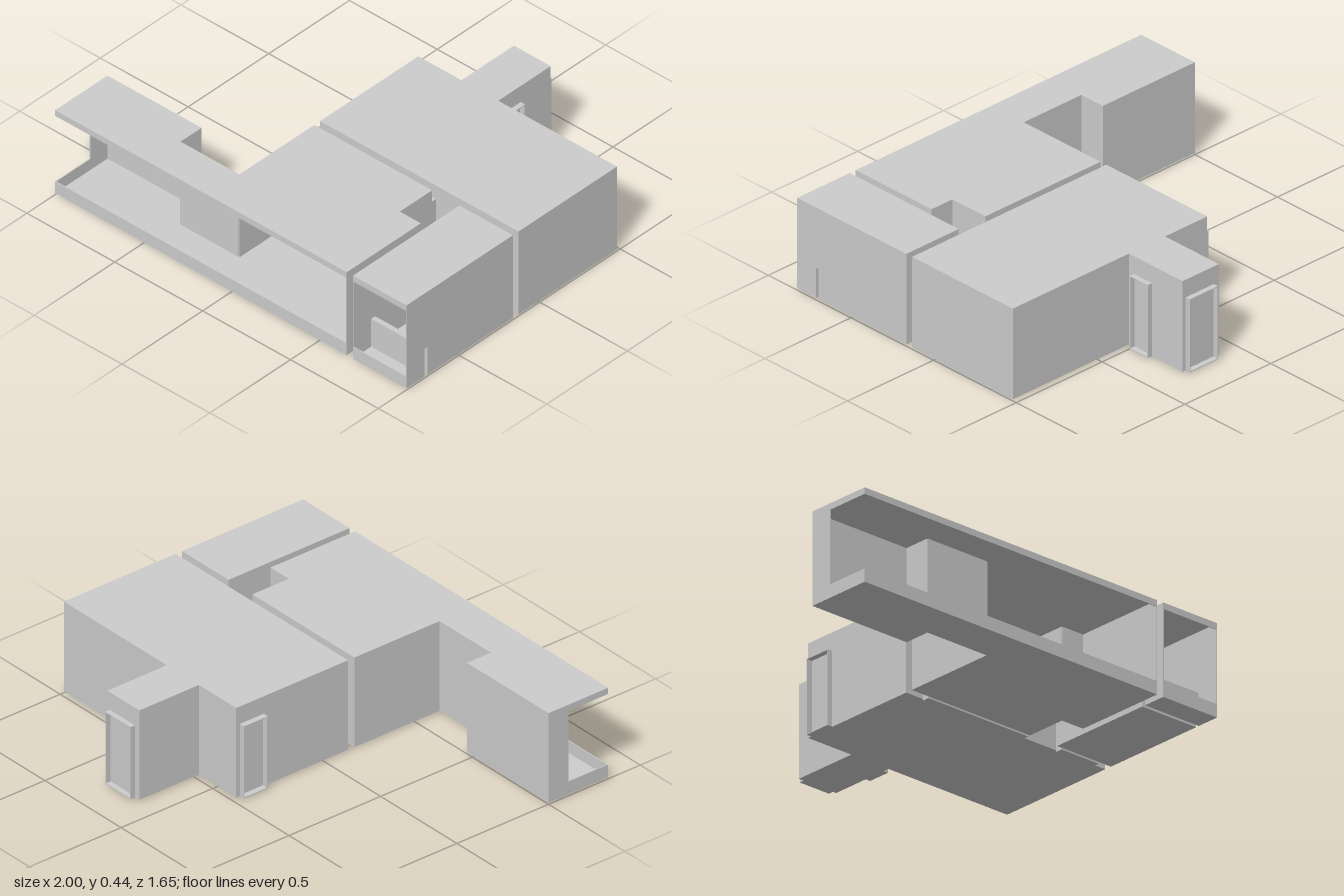
import * as THREE from 'three';

const material = new THREE.MeshStandardMaterial({ color: 0xcccccc, flatShading: true });
const T = 0.004;          // shell thickness
const BASE = 0.008, TOP = 0.445;
const SILL = 0.07, LINTEL = 0.415; // open front between these heights

function add(parent, name, geometry) {
  const mesh = new THREE.Mesh(geometry, material);
  mesh.name = name;
  parent.add(mesh);
  return mesh;
}

// Box given by its limits on each axis
function box(parent, name, x0, x1, y0, y1, z0, z1) {
  const g = new THREE.BoxGeometry(x1 - x0, y1 - y0, z1 - z0);
  g.translate((x0 + x1) / 2, (y0 + y1) / 2, (z0 + z1) / 2);
  return add(parent, name, g);
}

// Vertical prism over a floor plan of [x, z] points
function prism(parent, name, plan, y0, y1) {
  const shape = new THREE.Shape(plan.map(([x, z]) => new THREE.Vector2(x, -z)));
  const g = new THREE.ExtrudeGeometry(shape, { depth: y1 - y0, bevelEnabled: false });
  g.rotateX(-Math.PI / 2).translate(0, y0, 0);
  return add(parent, name, g);
}

// Wall on a plan segment, thickened towards the inside
function wall(parent, name, [ax, az], [bx, bz], y0 = BASE, y1 = TOP) {
  const len = Math.hypot(bx - ax, bz - az);
  const nx = -(bz - az) / len * T, nz = (bx - ax) / len * T;
  const xs = [ax, bx, ax + nx, bx + nx], zs = [az, bz, az + nz, bz + nz];
  return box(parent, name, Math.min(...xs), Math.max(...xs), y0, y1, Math.min(...zs), Math.max(...zs));
}

// Wall facing the front with an opening up to height h
function wallWithOpening(parent, x0, x1, z, o0, o1, h) {
  wall(parent, 'windowWall', [x0, z], [o0, z]);
  wall(parent, 'windowWall', [o1, z], [x1, z]);
  wall(parent, 'windowWall', [o0, z], [o1, z], h, TOP);
}

// Open door surround standing proud of a wall; built facing +z, then turned
function doorway(parent, name, width, depth, x, z, turn) {
  const g = new THREE.Group();
  g.name = name;
  const w = width / 2, h = 0.36;
  box(g, 'leftJamb', w - T, w, BASE, h, 0, depth);
  box(g, 'rightJamb', -w, -w + T, BASE, h, 0, depth);
  box(g, 'doorHead', -w, w, h - T, h, 0, depth);
  box(g, 'threshold', -w, w, BASE, BASE + T, 0, depth);
  g.position.set(x, 0, z);
  g.rotation.y = turn;
  parent.add(g);
}

// Glazed opening through the gap between the rooms and the balconies
function glazing(parent, name, x0, x1, panes) {
  const g = new THREE.Group();
  g.name = name;
  const z0 = 0.13, z1 = 0.165, h = 0.375, r = 0.006;
  box(g, 'leftFrame', x0, x0 + r, 0, h, z0, z1);
  box(g, 'rightFrame', x1 - r, x1, 0, h, z0, z1);
  box(g, 'headFrame', x0, x1, h - r, h, z0, z1);
  box(g, 'sillFrame', x0, x1, 0, BASE + T, z0, z1);
  box(g, 'backing', x0, x1, 0, h, z0, z0 + 0.012);
  for (const [a, b, y, z] of panes) {
    box(g, 'pane', a, b, y, 0.368, z, z + 0.006);
    for (const s of [a, b - r]) box(g, 'paneStile', s, s + r, y, 0.368, z, z + 0.009);
    box(g, 'paneRail', a, b, 0.362, 0.368, z, z + 0.009);
    box(g, 'paneRail', a, b, y, y + r, z, z + 0.009);
  }
  parent.add(g);
  return g;
}

export function createModel() {
  const model = new THREE.Group();
  model.name = 'apartment';

  // Main room with entrance corridor
  const room = new THREE.Group();
  room.name = 'mainRoom';
  model.add(room);
  prism(room, 'roomShell', [
    [-0.13, 0.13], [1, 0.13], [1, -0.48], [0.325, -0.48],
    [0.325, -0.805], [0.115, -0.805], [0.115, -0.48], [-0.13, -0.48],
  ], BASE, TOP);
  doorway(room, 'entranceDoor', 0.165, 0.025, 0.225, -0.805, Math.PI);
  doorway(room, 'corridorDoor', 0.11, 0.025, 0.325, -0.565, Math.PI / 2);
  doorway(room, 'sideDoor', 0.13, 0.027, -0.13, -0.395, -Math.PI / 2);

  // Large L-shaped balcony
  const balcony = new THREE.Group();
  balcony.name = 'largeBalcony';
  model.add(balcony);
  const plan = [
    [-1, 0.825], [-1, 0.5], [-0.465, 0.5], [-0.465, 0.63], [-0.13, 0.63],
    [-0.13, 0.165], [0.54, 0.165], [0.54, 0.365], [0.66, 0.365], [0.66, 0.825],
  ];
  prism(balcony, 'floor', plan, BASE, BASE + T);
  prism(balcony, 'ceiling', plan, TOP - T, TOP);
  for (let i = 1; i < plan.length - 1; i++) {
    if (i !== 5) wall(balcony, 'wall', plan[i], plan[i + 1]);
  }
  wallWithOpening(balcony, -0.13, 0.54, 0.165, -0.035, 0.53, 0.375);
  wall(balcony, 'endWall', [-1, 0.61], [-1, 0.5]);
  for (const [part, y0, y1] of [['parapet', BASE, SILL], ['lintel', LINTEL, TOP]]) {
    wall(balcony, part, [0.66, 0.825], [-1, 0.825], y0, y1);
    wall(balcony, part, [-1, 0.825], [-1, 0.61], y0, y1);
  }
  const doors = glazing(balcony, 'slidingDoors', -0.035, 0.53, [
    [-0.025, 0.145, 0.012, 0.142], [0.115, 0.16, 0.012, 0.146],
    [0.16, 0.33, 0.012, 0.15], [0.34, 0.52, 0.012, 0.142],
  ]);
  box(doors, 'handle', 0.324, 0.33, 0.175, 0.2, 0.158, 0.164);

  // Small balcony with a low hollow partition near the front
  const small = new THREE.Group();
  small.name = 'smallBalcony';
  model.add(small);
  const x0 = 0.695, x1 = 1, back = 0.165, front = 0.825, p0 = 0.695, p1 = 0.712, ph = 0.158;
  box(small, 'ceiling', x0, x1, TOP - T, TOP, back, front);
  wallWithOpening(small, x0, x1, back, 0.72, 0.93, 0.375);
  for (const [z0, z1] of [[back, p0], [p1, front]]) {
    box(small, 'floor', x0, x1, BASE, BASE + T, z0, z1);
    for (const x of [x0, x1 - T]) box(small, 'sideWall', x, x + T, BASE, TOP, z0, z1);
  }
  for (const x of [x0, x1 - T]) box(small, 'sideWallOverPartition', x, x + T, ph, TOP, p0, p1);
  box(small, 'partitionBack', x0, x1, BASE, ph, p0 - T, p0);
  box(small, 'partitionFront', x0, x1, BASE, ph, p1, p1 + T);
  box(small, 'partitionTop', x0, x1, ph - T, ph, p0, p1);
  box(small, 'parapet', x0, x1, BASE, SILL, front - T, front);
  box(small, 'lintel', x0, x1, LINTEL, TOP, front - T, front);
  const exit = glazing(small, 'balconyDoor', 0.72, 0.93, [
    [0.728, 0.872, 0.012, 0.144], [0.886, 0.922, 0.16, 0.144],
  ]);
  box(exit, 'windowSill', 0.88, 0.93, 0, 0.16, 0.13, 0.165);
  box(exit, 'mullion', 0.874, 0.882, 0, 0.375, 0.13, 0.165);

  return model;
}
